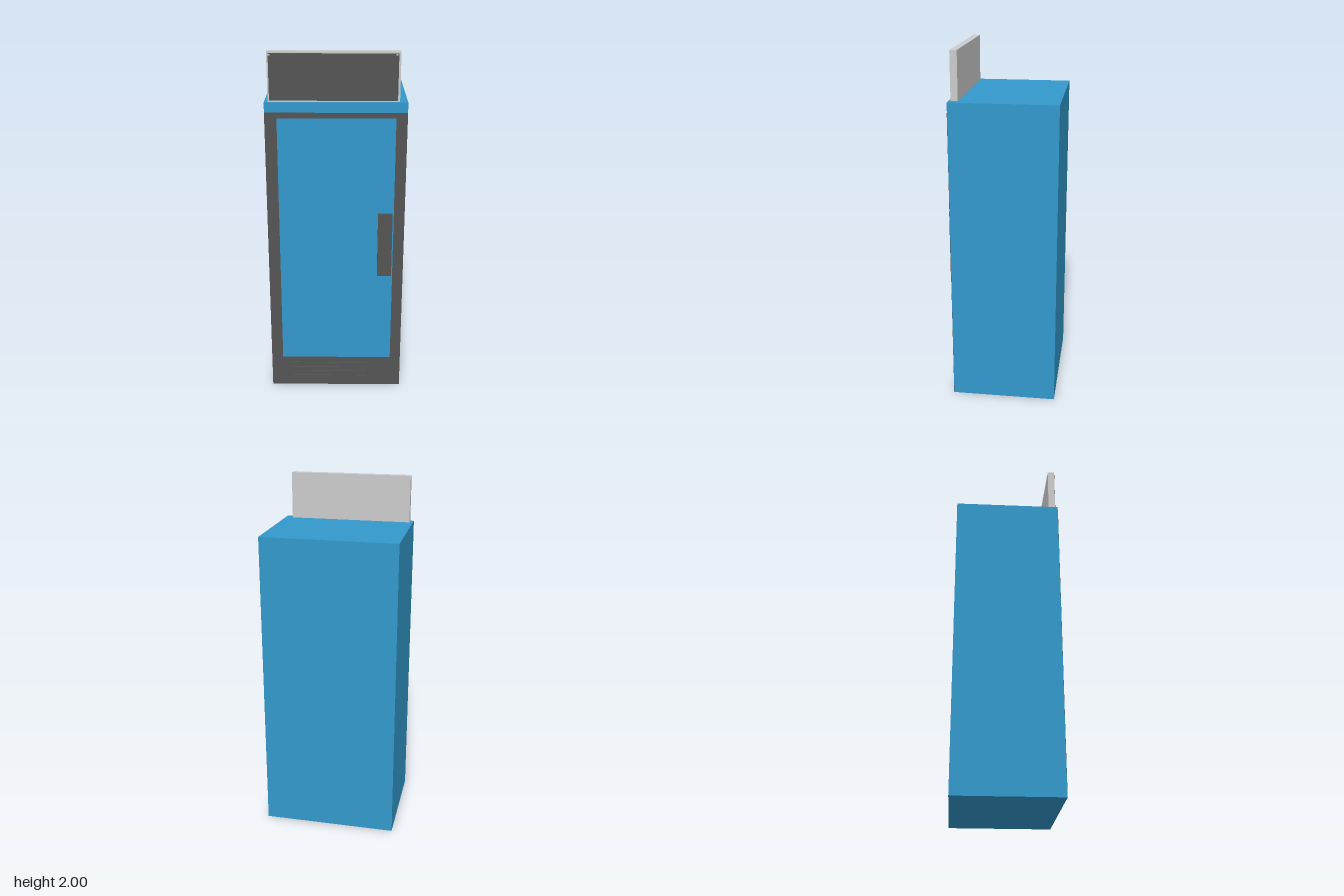
import * as THREE from 'three';

export function createModel() {
  const blue = new THREE.MeshStandardMaterial({ color: 0x3399cc });
  blue.name = 'cabinet blue';
  const dark = new THREE.MeshStandardMaterial({ color: 0x555555 });
  dark.name = 'dark grey';
  const light = new THREE.MeshStandardMaterial({ color: 0xcccccc });
  light.name = 'light grey';

  const model = new THREE.Group();
  model.name = 'uprightCooler';

  // Box given by its minimum and maximum corners
  function box(name, material, [x0, y0, z0], [x1, y1, z1], parent = model) {
    const mesh = new THREE.Mesh(new THREE.BoxGeometry(x1 - x0, y1 - y0, z1 - z0), material);
    mesh.position.set((x0 + x1) / 2, (y0 + y1) / 2, (z0 + z1) / 2);
    mesh.name = name;
    parent.add(mesh);
    return mesh;
  }

  function rectangle(path, x0, y0, x1, y1) {
    path.moveTo(x0, y0);
    path.lineTo(x1, y0);
    path.lineTo(x1, y1);
    path.lineTo(x0, y1);
    path.closePath();
    return path;
  }

  // Cabinet body
  const front = 0.288;
  box('cabinet', blue, [-0.38, 0, -0.305], [0.38, 1.735, front - 0.001]);

  // Dark surround, open around the flush door panel
  const surround = rectangle(new THREE.Shape(), -0.38, 0, 0.38, 1.68);
  surround.holes.push(rectangle(new THREE.Path(), -0.315, 0.19, 0.32, 1.65));
  const frame = new THREE.Mesh(
    new THREE.ExtrudeGeometry(surround, { depth: 0.001, bevelEnabled: false }), dark);
  frame.position.z = front - 0.001;
  frame.name = 'doorSurround';
  model.add(frame);
  box('doorPanel', blue, [-0.315, 0.19, front - 0.001], [0.32, 1.65, front]);

  // Door handle
  box('handle', dark, [0.233, 0.735, front], [0.313, 1.11, 0.304]);

  // Vent slats
  const vent = new THREE.Group();
  vent.name = 'vent';
  model.add(vent);
  for (let i = 0; i < 4; i++) {
    const y = 0.042 + i * 0.03;
    box('ventSlat', dark, [-0.26, y, front], [0.184, y + 0.022, 0.292], vent);
  }

  // Header sign with a dark face and two small corner fixings
  const sign = new THREE.Group();
  sign.name = 'headerSign';
  model.add(sign);
  box('signBody', light, [-0.36, 1.735, 0.236], [0.337, 2, 0.275], sign);
  box('signFace', dark, [-0.352, 1.742, 0.275], [0.326, 1.99, 0.277], sign);
  for (const x of [-0.346, 0.316]) {
    box('signFixing', light, [x - 0.005, 1.979, 0.277], [x + 0.005, 1.987, 0.278], sign);
  }

  return model;
}
